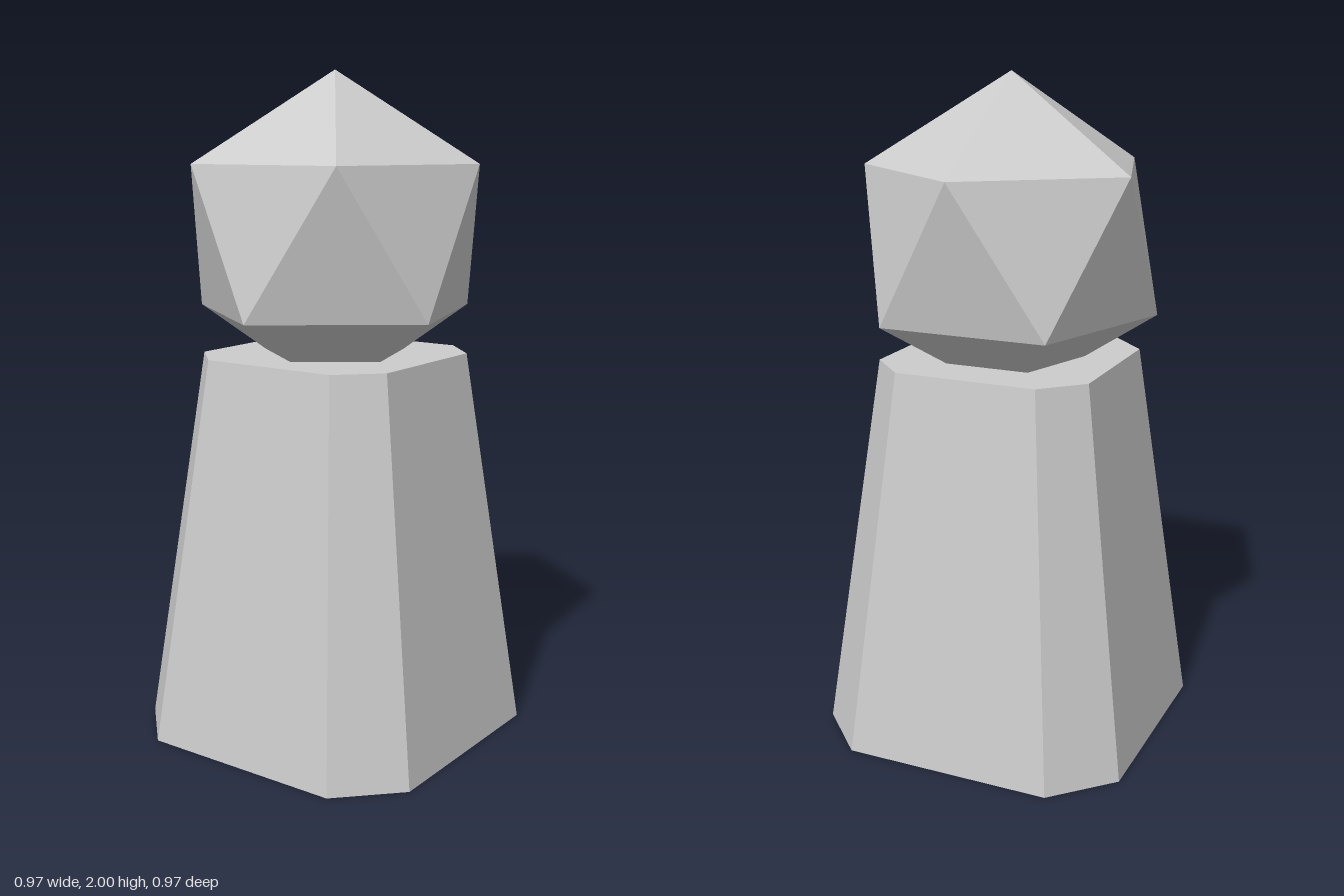
import * as THREE from 'three';

export function createModel() {
  const group = new THREE.Group();
  const material = new THREE.MeshStandardMaterial({ color: 0xcccccc, flatShading: true });

  // Tapered pedestal: a chamfered square extruded upward, its top scaled in
  const half = 0.485, flat = 0.318, height = 1.165, taper = 0.687;
  const outline = new THREE.Shape([
    [half, -flat], [half, flat], [flat, half], [-flat, half],
    [-half, flat], [-half, -flat], [-flat, -half], [flat, -half],
  ].map(([x, y]) => new THREE.Vector2(x, y)));
  const body = new THREE.ExtrudeGeometry(outline, { depth: height, bevelEnabled: false });
  body.rotateX(-Math.PI / 2);
  const pos = body.attributes.position;
  for (let i = 0; i < pos.count; i++) {
    const s = pos.getY(i) > height / 2 ? taper : 1;
    pos.setXYZ(i, pos.getX(i) * s, pos.getY(i), pos.getZ(i) * s);
  }
  body.computeVertexNormals();
  const pedestal = new THREE.Mesh(body, material);
  pedestal.name = 'pedestal';
  group.add(pedestal);

  // Faceted head: icosahedron standing on a vertex, sunk into the pedestal
  const radius = 0.486;
  const gem = new THREE.IcosahedronGeometry(radius, 0);
  gem.rotateZ(-Math.atan(2 / (1 + Math.sqrt(5))));
  const head = new THREE.Mesh(gem, material);
  head.name = 'head';
  head.position.y = 2 - radius;
  group.add(head);

  return group;
}
